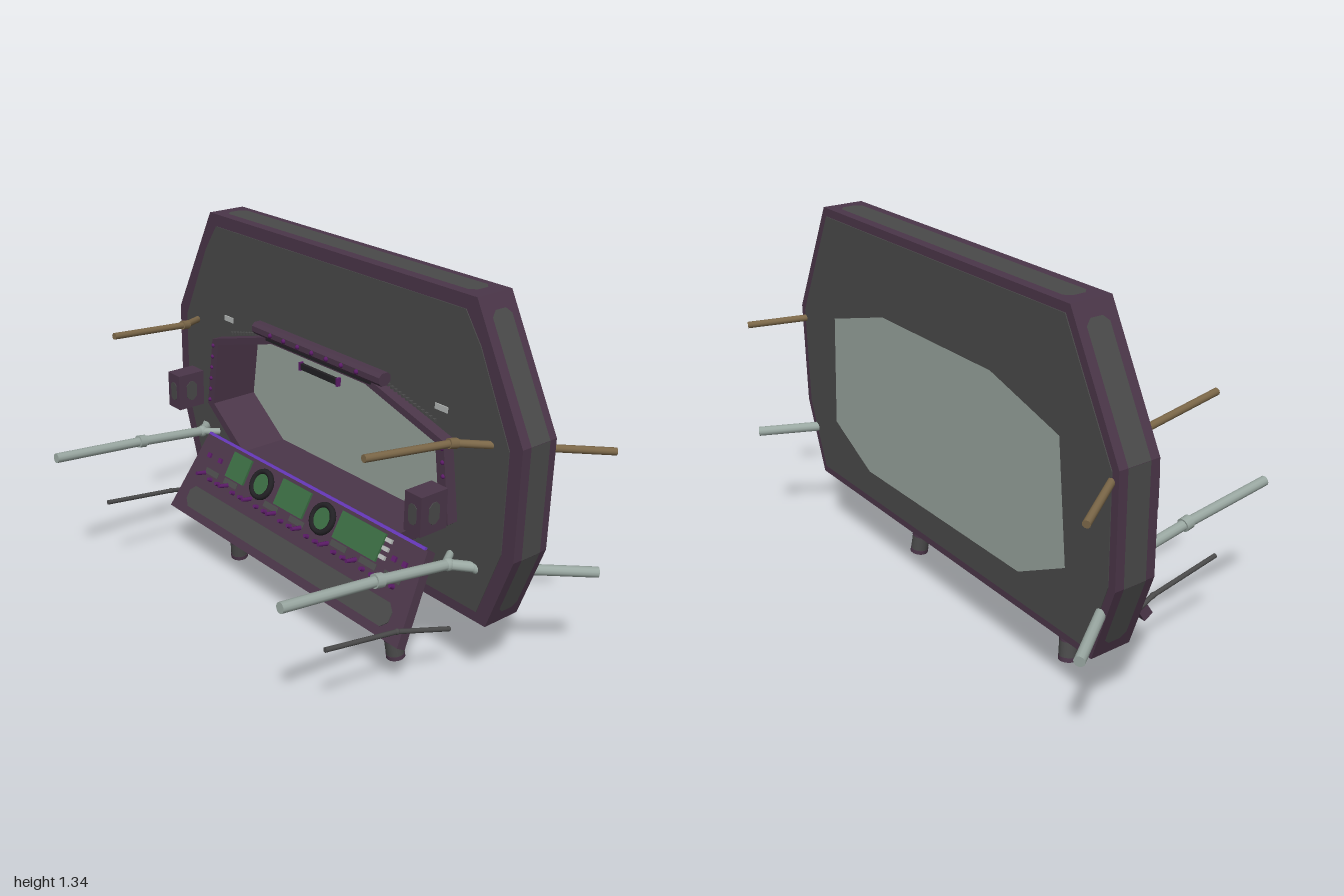
import * as THREE from 'three';

const mat = (name, color, double = false) => {
  const m = new THREE.MeshStandardMaterial({ color });
  m.name = name;
  if (double) m.side = THREE.DoubleSide;
  return m;
};
const M = {
  purple: mat('dark purple trim', 0x4b3649),
  gray: mat('hull gray', 0x4a4a4a, true),
  glass: mat('window glass', 0x97a39c, true),
  metal: mat('pale metal', 0x9aa8a2),
  tan: mat('tan metal', 0x7b6748),
  green: mat('screen green', 0x3a6b42),
  violet: mat('violet light', 0x6a3ac0),
  magenta: mat('magenta knob', 0x5c1c68),
  black: mat('black', 0x222024),
  white: mat('off white', 0xb4b8b6),
};
const V = (x, y, z) => new THREE.Vector3(x, y, z);

function add(parent, name, geo, material, x = 0, y = 0, z = 0) {
  const m = new THREE.Mesh(geo, material);
  m.name = name;
  m.position.set(x, y, z);
  parent.add(m);
  return m;
}
const box = (p, name, w, h, d, m, x, y, z) => add(p, name, new THREE.BoxGeometry(w, h, d), m, x, y, z);

// Cylinder running from a to b
function rod(parent, name, a, b, r, material, sides = 12) {
  const m = add(parent, name, new THREE.CylinderGeometry(r, r, a.distanceTo(b), sides), material);
  m.position.copy(a).lerp(b, 0.5);
  m.quaternion.setFromUnitVectors(V(0, 1, 0), b.clone().sub(a).normalize());
  return m;
}
// Chain of rods with ball elbows
function pipe(parent, name, pts, r, material) {
  pts.slice(1).forEach((p, i) => {
    rod(parent, name, pts[i], p, r, material);
    if (i < pts.length - 2) add(parent, name + 'Elbow', new THREE.SphereGeometry(r * 1.25, 12, 8), material, p.x, p.y, p.z);
  });
}

// Outline symmetric in x from its right half, listed bottom to top
const mirror = (half) => half.concat([...half].reverse().map(([x, y]) => [-x, y]));
const toShape = (pts) => new THREE.Shape(pts.map(([x, y]) => new THREE.Vector2(x, y)));
function plate(outer, hole, depth) {
  const s = toShape(outer);
  if (hole) s.holes.push(toShape(hole));
  return new THREE.ExtrudeGeometry(s, { depth, bevelEnabled: false });
}
// Rectangle with cut corners, centred
const cutRect = (w, h, c) => mirror([[w / 2 - c, -h / 2], [w / 2, -h / 2 + c], [w / 2, h / 2 - c], [w / 2 - c, h / 2]]);

const HULL = mirror([[0.805, 0.277], [0.9, 0.55], [0.9, 0.93], [0.68, 1.345]]);
const HULL_FACE = mirror([[0.765, 0.315], [0.85, 0.56], [0.85, 0.91], [0.71, 1.2], [0.64, 1.3]]);
const HULL_BACK = mirror([[0.785, 0.305], [0.872, 0.555], [0.872, 0.92], [0.662, 1.315]]);
const FRAME_IN = mirror([[0.43, 0.47], [0.62, 0.61], [0.585, 0.86], [0.25, 0.955]]);
const FRAME_OUT = mirror([[0.45, 0.44], [0.66, 0.6], [0.62, 0.875], [0.27, 0.975]]);
const GLASS = mirror([[0.45, 0.41], [0.68, 0.53], [0.645, 0.945], [0.31, 1.04]]);

function buildHull(root) {
  const g = new THREE.Group();
  g.name = 'hull';
  add(g, 'hullSlab', plate(HULL, FRAME_IN, 0.15), M.purple, 0, 0, -0.34);
  add(g, 'frontPanel', plate(HULL_FACE, FRAME_OUT, 0.004), M.gray, 0, 0, -0.191);
  add(g, 'backPanel', plate(HULL_BACK, GLASS, 0.004), M.gray, 0, 0, -0.343);
  add(g, 'window', plate(GLASS, null, 0.004), M.glass, 0, 0, -0.343);
  // Inset strips round the rim, running unbroken past the side corners
  HULL.forEach(([ax, ay], i) => {
    const [bx, by] = HULL[(i + 1) % HULL.length];
    const d = V(bx - ax, by - ay, 0), len = d.length();
    d.normalize();
    const n = V(d.y, -d.x, 0);
    const isKink = (x) => Math.abs(x) > 0.89;
    const a = isKink(ax) ? 0 : 0.05, b = len - (isKink(bx) ? 0 : 0.05);
    const ca = a ? 0.02 : 0, cb = isKink(bx) ? 0 : 0.02, h = 0.042;
    const s = toShape([[a + ca, -h], [b - cb, -h], [b, -h + cb], [b, h - cb], [b - cb, h], [a + ca, h], [a, h - ca], [a, -h + ca]]);
    const m = add(g, 'rimStrip', new THREE.ShapeGeometry(s), M.gray);
    m.quaternion.setFromRotationMatrix(new THREE.Matrix4().makeBasis(d, V(0, 0, 1), n));
    m.position.set(ax, ay, -0.267).addScaledVector(n, 0.002);
  });
  root.add(g);
}

function buildFrame(root) {
  const g = new THREE.Group();
  g.name = 'windowFrame';
  add(g, 'frameRing', plate(FRAME_OUT, FRAME_IN, 0.05), M.purple, 0, 0, -0.195);
  // Bar with cut edges above the window
  const bar = add(g, 'topBar', new THREE.ExtrudeGeometry(toShape(cutRect(0.05, 0.044, 0.012)), { depth: 0.68, bevelEnabled: false }), M.purple, -0.34, 0.995, -0.15);
  bar.rotation.y = Math.PI / 2;
  box(g, 'barMount', 0.56, 0.02, 0.05, M.black, 0, 0.972, -0.165);
  for (let i = -3; i <= 3; i++) add(g, 'barKnob', new THREE.SphereGeometry(0.009, 8, 6), M.magenta, i * 0.077, 0.996, -0.124);
  box(g, 'windowVent', 0.2, 0.022, 0.012, M.black, 0, 0.912, -0.16);
  for (const s of [-1, 1]) {
    box(g, 'ventClip', 0.008, 0.03, 0.016, M.magenta, s * 0.1, 0.912, -0.16);
    box(g, 'hullLabel', 0.055, 0.02, 0.004, M.white, s * 0.565, 0.96, -0.185);
    // Beaded line along the upper slope, bolts down the side
    for (let i = 0; i < 14; i++) box(g, 'bead', 0.01, 0.009, 0.012, M.gray, s * (0.54 - i * 0.018), 0.912 + i * 0.0045, -0.183);
    for (let i = 0; i < 6; i++) {
      const t = i / 5;
      add(g, 'sideBolt', new THREE.SphereGeometry(0.008, 8, 6), M.magenta, s * (0.645 - 0.03 * t), 0.62 + 0.23 * t, -0.145);
    }
  }
  root.add(g);
}

// Sloping control desk; local y runs up the slope and z out of the face
function buildConsole(root) {
  const g = new THREE.Group();
  g.name = 'console';
  g.position.set(0, 0.215, 0.05);
  g.rotation.x = -Math.PI / 6;
  add(g, 'deskSlab', plate(mirror([[0.655, 0], [0.61, 0.325]]), null, 0.04), M.purple, 0, 0, -0.04);
  add(g, 'deskBack', plate(mirror([[0.62, 0.03], [0.58, 0.3]]), null, 0.003), M.gray, 0, 0, -0.042);
  add(g, 'lowerPanel', plate(cutRect(1.16, 0.085, 0.025), null, 0.003), M.gray, 0, 0.075, 0);
  box(g, 'lightStrip', 1.2, 0.01, 0.012, M.violet, 0, 0.328, 0);
  for (const [x, w] of [[-0.365, 0.11], [-0.04, 0.16], [0.32, 0.22]]) box(g, 'screen', w, 0.1, 0.012, M.green, x, 0.26, 0.003);
  for (const x of [-0.215, 0.135]) {
    const bezel = add(g, 'dialBezel', new THREE.TorusGeometry(0.049, 0.011, 8, 24), M.black, x, 0.25, 0.006);
    bezel.scale.z = 1.2;
    const face = add(g, 'dialFace', new THREE.CylinderGeometry(0.046, 0.046, 0.012, 24), M.green, x, 0.25, 0.004);
    face.rotation.x = Math.PI / 2;
  }
  for (let i = 0; i < 3; i++) box(g, 'button', 0.028, 0.014, 0.012, M.white, 0.45, 0.295 - i * 0.03, 0.004);
  for (const x of [-0.5, -0.38, -0.13, 0.02, 0.25, 0.4, 0.52]) box(g, 'switchPlate', 0.08, 0.022, 0.004, M.gray, x, 0.193, 0.001);
  // Row of knobs with a toggle lever at every third
  for (let i = 0; i < 23; i++) {
    const x = -0.54 + i * 0.049, lever = i % 3 === 0;
    const k = add(g, lever ? 'toggleLever' : 'knob', new THREE.CylinderGeometry(0.007, 0.009, lever ? 0.045 : 0.018, 8), M.magenta, x, lever ? 0.175 : 0.167, lever ? 0.018 : 0.008);
    k.rotation.x = lever ? 1.9 : Math.PI / 2;
  }
  for (const x of [-0.55, -0.48, 0.5, 0.55]) box(g, 'key', 0.018, 0.018, 0.012, M.magenta, x, 0.25, 0.003);
  root.add(g);
}

// Everything that stands on both sides
function buildSide(root, s) {
  const g = new THREE.Group();
  g.name = s > 0 ? 'leftFittings' : 'rightFittings';
  const P = (x, y, z) => V(s * x, y, z);

  pipe(g, 'lowerArm', [P(0.66, 0.55, 0.53), P(0.672, 0.513, 0.16), P(0.685, 0.475, -0.13), P(0.745, 0.466, -0.2), P(0.97, 0.435, -0.525)], 0.018, M.metal);
  rod(g, 'lowerArmCollar', P(0.671, 0.516, 0.175), P(0.673, 0.511, 0.145), 0.024, M.metal);
  rod(g, 'elbowBrace', P(0.64, 0.475, -0.185), P(0.682, 0.478, -0.12), 0.013, M.metal);

  pipe(g, 'upperArm', [P(0.685, 0.95, 0.245), P(0.715, 0.918, -0.09), P(0.985, 0.865, -0.525)], 0.0125, M.tan);
  rod(g, 'upperArmCollar', P(0.713, 0.921, -0.07), P(0.718, 0.916, -0.1), 0.017, M.tan);

  pipe(g, 'thinRod', [P(0.64, 0.32, 0.34), P(0.652, 0.278, 0.05), P(0.685, 0.225, -0.155)], 0.0085, M.gray);

  // Side speaker box with inset panels
  box(g, 'sideBox', 0.073, 0.136, 0.112, M.purple, s * 0.658, 0.688, -0.044);
  add(g, 'boxFront', plate(cutRect(0.035, 0.07, 0.01), null, 0.003), M.gray, s * 0.658, 0.688, 0.011);
  for (const e of [-1, 1]) {
    const p = add(g, 'boxSide', plate(cutRect(0.045, 0.075, 0.015), null, 0.003), M.gray, s * 0.658 + e * 0.036, 0.688, -0.044);
    p.rotation.y = e * Math.PI / 2;
  }

  // Leg: sleeve, thin rod and drum foot on one axis
  const top = P(0.422, 0.39, -0.092), foot = P(0.457, 0.008, -0.139);
  const at = (t) => top.clone().lerp(foot, t);
  rod(g, 'legSleeve', at(0), at(0.28), 0.02, M.gray);
  rod(g, 'legRod', at(0.25), at(0.85), 0.011, M.metal);
  rod(g, 'footDrum', at(0.8), at(0.985), 0.033, M.gray, 16);
  rod(g, 'footTop', at(0.785), at(0.815), 0.034, M.purple, 16);
  rod(g, 'footBase', at(0.96), at(1), 0.034, M.purple, 16);
  root.add(g);
}

export function createModel() {
  const root = new THREE.Group();
  root.name = 'cockpitWindowSection';
  buildHull(root);
  buildFrame(root);
  buildConsole(root);
  for (const s of [1, -1]) buildSide(root, s);
  return root;
}
